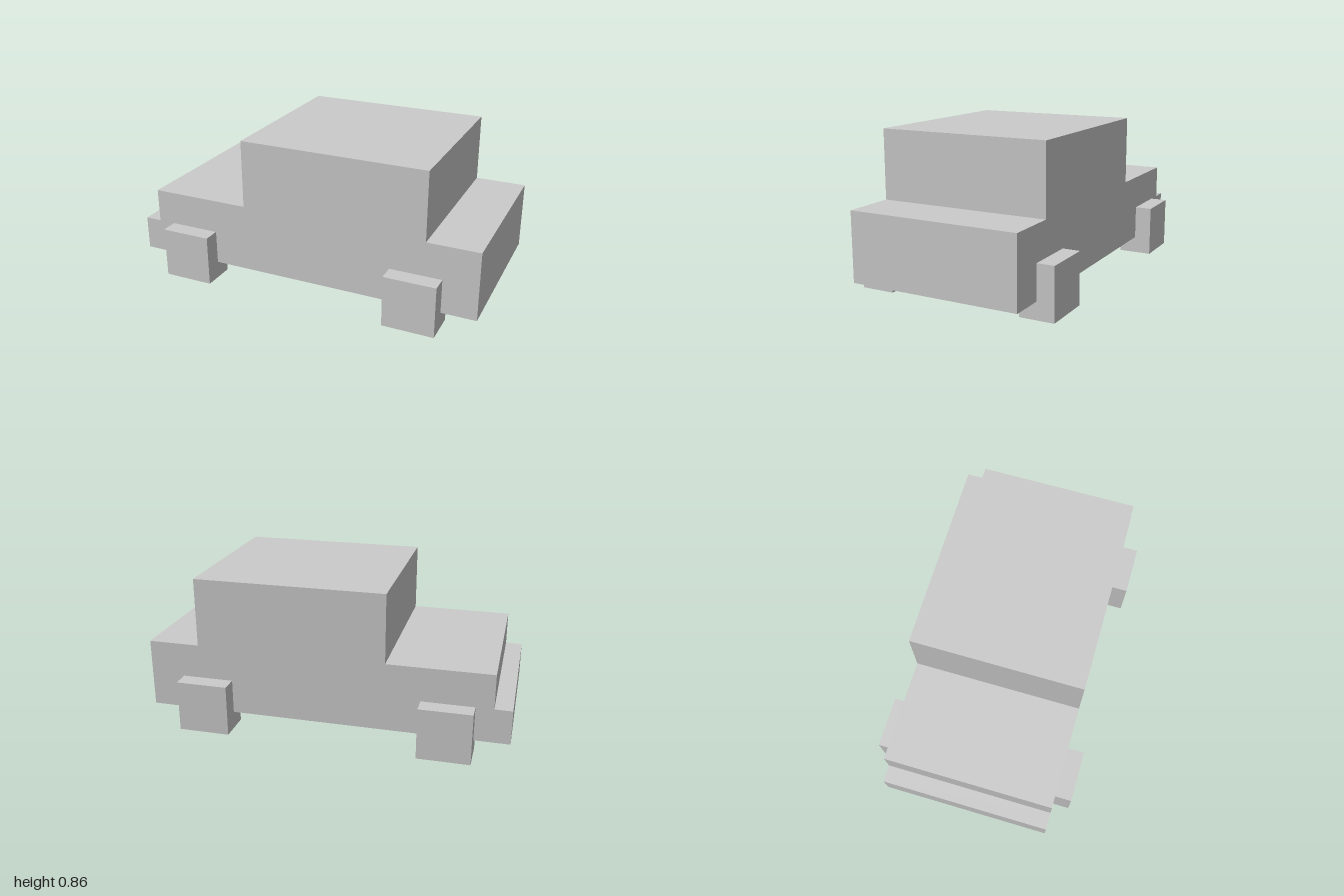
import * as THREE from 'three';

// Everything sits on a grid of 21 cells along the car's length
const U = 2 / 21;

export function createModel() {
  const car = new THREE.Group();
  car.name = 'blockCar';
  const material = new THREE.MeshStandardMaterial({ color: 0xcccccc, flatShading: true });

  // Body: stepped side profile with two wheel channels, extruded across the width
  const profile = [
    [-10.5, 1], [-8.5, 1], [-8.5, 3], [-5.5, 3], [-5.5, 1],   // bumper floor, first channel
    [5.5, 1], [5.5, 3], [8.5, 3], [8.5, 1], [10.5, 1],        // floor, second channel
    [10.5, 5], [7.5, 5], [7.5, 9], [-3.5, 9], [-3.5, 5],      // boot, cabin
    [-9.5, 5], [-9.5, 3], [-10.5, 3],                         // bonnet, bumper
  ].map(([x, y]) => new THREE.Vector2(x * U, y * U));
  const bodyGeometry = new THREE.ExtrudeGeometry(new THREE.Shape(profile), {
    depth: 10 * U,
    bevelEnabled: false,
  });
  bodyGeometry.translate(0, 0, -5 * U);
  const body = new THREE.Mesh(bodyGeometry, material);
  body.name = 'body';
  car.add(body);

  // Four square wheels, half sunk into the channels
  const wheelGeometry = new THREE.BoxGeometry(3 * U, 3 * U, 2 * U);
  for (const x of [-7, 7]) {
    for (const z of [-5, 5]) {
      const wheel = new THREE.Mesh(wheelGeometry, material);
      wheel.name = 'wheel';
      wheel.position.set(x * U, 1.5 * U, z * U);
      car.add(wheel);
    }
  }
  return car;
}
